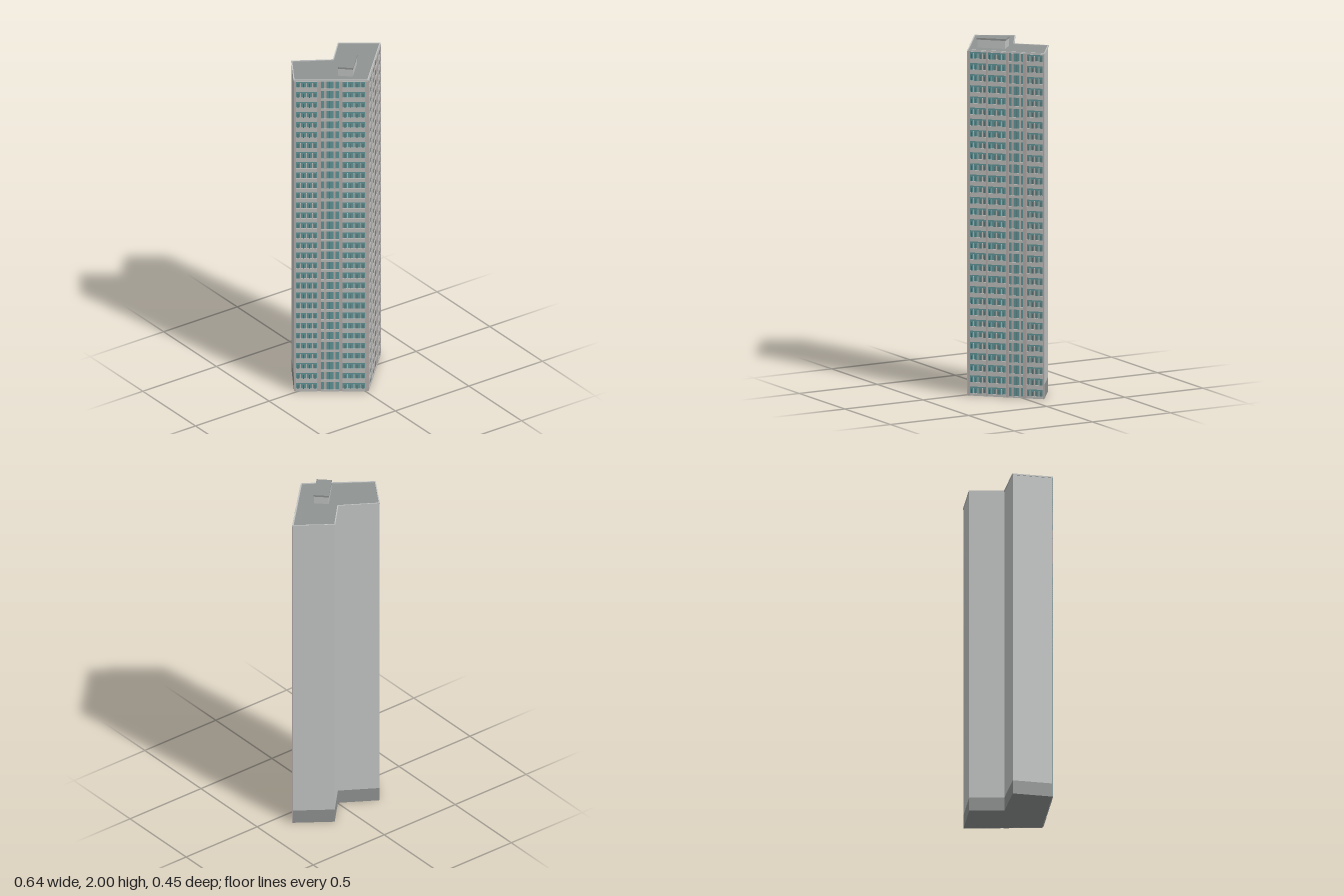
import * as THREE from 'three';
import { mergeGeometries } from 'three/addons/utils/BufferGeometryUtils.js';

const mat = (name, color) => {
  const m = new THREE.MeshStandardMaterial({ color });
  m.name = name;
  return m;
};

export function createModel() {
  const wall = mat('light concrete', 0xc2c5c4);
  const base = mat('dark plinth', 0x8f9291);
  const roof = mat('roof grey', 0x8f9392);
  const pier = mat('warm grey cladding', 0xb4adab);
  const band = mat('pale balcony band', 0xbcbcba);
  const glass = mat('teal glass', 0x5f9496);
  const dark = mat('dark window frame', 0x566a6a);

  const tower = new THREE.Group();
  tower.name = 'tower';
  const H = 1.95, FLOORS = 31, STEP = H / FLOORS;

  // Footprint corners as [x, z]
  const A = [-0.318, -0.018], B = [-0.199, -0.205], C = [-0.003, -0.084];
  const D = [0.131, -0.225], E = [0.319, -0.091], F = [0.014, 0.219];
  const plan = [A, F, E, D, C, B];

  function prism(name, points, y0, y1, materials) {
    const shape = new THREE.Shape(points.map(([x, z]) => new THREE.Vector2(x, -z)));
    const geo = new THREE.ExtrudeGeometry(shape, { depth: y1 - y0, bevelEnabled: false });
    geo.rotateX(-Math.PI / 2).translate(0, y0, 0);
    const mesh = new THREE.Mesh(geo, materials);
    mesh.name = name;
    tower.add(mesh);
  }

  prism('plinth', plan, 0, 0.08, base);
  prism('shaft', plan, 0.08, H - 0.005, [roof, wall]);

  // Stair and lift housing with an overhanging slab
  const hut = [[-0.09, 0.08], [-0.029, 0.139], [0.086, 0.021], [0.025, -0.039]];
  const hutMid = [-0.002, 0.05];
  const inner = hut.map(p => p.map((v, i) => hutMid[i] + (v - hutMid[i]) * 0.96));
  prism('roofHousing', inner, H - 0.005, 1.99, wall);
  prism('roofHousingSlab', hut, 1.99, 2, roof);

  // Group whose local x runs along an edge and local z points outwards
  function edgeGroup(name, p, q) {
    const g = new THREE.Group();
    const dx = q[0] - p[0], dz = q[1] - p[1];
    g.name = name;
    g.position.set(p[0], 0, p[1]);
    g.rotation.y = Math.atan2(-dz, dx);
    tower.add(g);
    return { g, len: Math.hypot(dx, dz) };
  }

  // Low parapet round the roof
  plan.forEach((p, i) => {
    const { g, len } = edgeGroup('parapet' + (i + 1), p, plan[(i + 1) % plan.length]);
    const rim = new THREE.Mesh(new THREE.BoxGeometry(len + 0.004, 0.008, 0.006), wall);
    rim.name = 'parapetRim';
    rim.position.set(len / 2, H - 0.004, 0);
    g.add(rim);
  });

  // Glazed facade: glass sheet behind piers, floor bands and mullions
  function facade(name, p, q, bays) {
    const { g, len } = edgeGroup(name, p, q);
    const parts = { glazing: [], piers: [], bands: [], frames: [] };
    const add = (key, u0, u1, y0, y1, depth) => {
      const geo = new THREE.BoxGeometry(u1 - u0, y1 - y0, depth);
      parts[key].push(geo.translate((u0 + u1) / 2, (y0 + y1) / 2, depth / 2));
    };
    add('glazing', 0, len, 0, H - 0.008, 0.001);

    // Full-height piers fill the gaps between bays
    let last = 0;
    [...bays, { from: 1, to: 1 }].forEach(b => {
      add('piers', last * len, b.from * len, 0, H - 0.008, 0.005);
      last = b.to;
    });

    for (const b of bays) {
      const u0 = b.from * len, u1 = b.to * len, w = u1 - u0;
      // Slim bays have two continuous posts
      if (b.slim) {
        for (const t of [0.24, 0.76])
          add('piers', u0 + w * (t - 0.06), u0 + w * (t + 0.06), 0, H - 0.008, 0.004);
      }
      for (let i = 0; i < FLOORS; i++) {
        const y = i * STEP;
        const sill = y + (b.slim ? 0.009 : 0.014);
        const head = y + STEP - (b.slim ? 0.006 : 0.011);
        add('bands', u0, u1, y, sill, 0.006);
        add('bands', u0, u1, head, Math.min(y + STEP, H - 0.008), 0.006);
        if (b.slim) {
          add('frames', u0 + w * 0.49, u0 + w * 0.51, sill, head, 0.002);
          continue;
        }
        // Tall mullions, with short posts and dark frames between them
        for (const t of [0.22, 0.5, 0.78])
          add('bands', u0 + w * t - 0.0022, u0 + w * t + 0.0022, sill, head - 0.008, 0.004);
        for (const t of [0.1, 0.36, 0.64, 0.9])
          add('frames', u0 + w * t - 0.002, u0 + w * t + 0.002, sill, head - 0.014, 0.003);
      }
    }

    const mats = { glazing: glass, piers: pier, bands: band, frames: dark };
    for (const key in parts) {
      const mesh = new THREE.Mesh(mergeGeometries(parts[key]), mats[key]);
      mesh.name = key;
      g.add(mesh);
    }
  }

  facade('rightFacade', A, F, [
    { from: 0.025, to: 0.315 },
    { from: 0.365, to: 0.61, slim: true },
    { from: 0.66, to: 0.965 },
  ]);
  facade('leftFacade', F, E, [
    { from: 0.025, to: 0.235 },
    { from: 0.26, to: 0.49 },
    { from: 0.535, to: 0.725, slim: true },
    { from: 0.77, to: 0.975 },
  ]);

  return tower;
}
